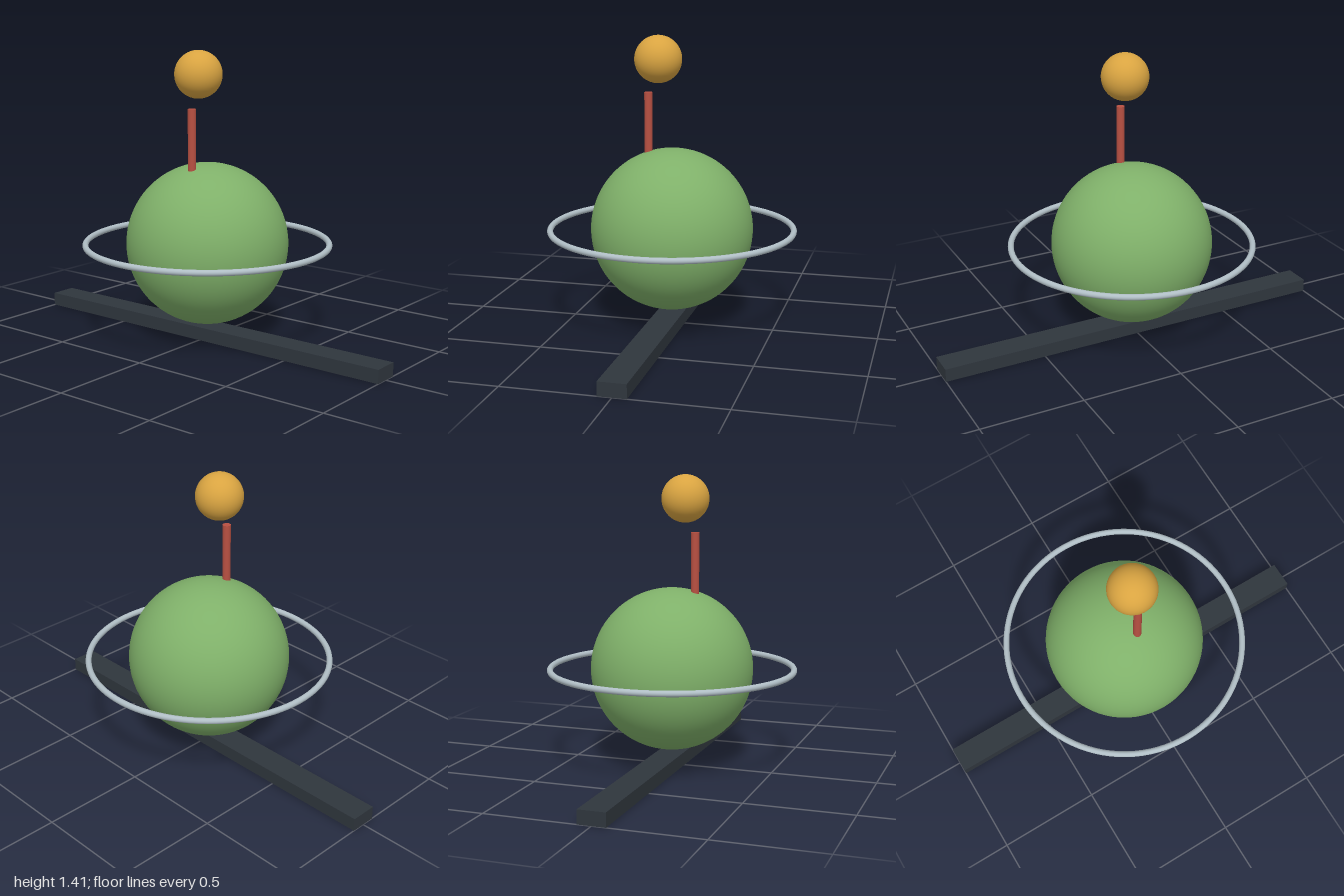
import * as THREE from 'three';

export function createModel() {
  const model = new THREE.Group();
  const material = (name, color) => {
    const m = new THREE.MeshStandardMaterial({ color });
    m.name = name;
    return m;
  };
  const add = (name, geometry, mat, x, y, z) => {
    const mesh = new THREE.Mesh(geometry, mat);
    mesh.name = name;
    mesh.position.set(x, y, z);
    model.add(mesh);
    return mesh;
  };

  const green = material('leaf green', 0x7fb069);
  const gold = material('gold', 0xd9a441);
  const red = material('brick red', 0xb85042);
  const silver = material('silver grey', 0xb0bec5);
  const slate = material('dark slate', 0x2f363d);

  // Long flat bar on the ground
  add('baseBar', new THREE.BoxGeometry(2, 0.065, 0.13), slate, 0, 0.0325, 0);

  // Large ball hovering just above the bar
  add('mainBall', new THREE.SphereGeometry(0.391, 64, 48), green, 0, 0.475, 0);

  // Thin level ring around the ball
  const ring = add('ring', new THREE.TorusGeometry(0.587, 0.0145, 16, 96), silver, 0, 0.475, 0);
  ring.rotation.x = Math.PI / 2;

  // Upright rod set into the ball, forward of its centre
  const rodTop = 1.134, rodBottom = 0.81;
  add('rod', new THREE.CylinderGeometry(0.0195, 0.0195, rodTop - rodBottom, 24), red,
    0, (rodTop + rodBottom) / 2, 0.116);

  // Small ball floating above the rod
  add('topBall', new THREE.SphereGeometry(0.1135, 40, 28), gold, 0, 1.292, 0.067);

  return model;
}
